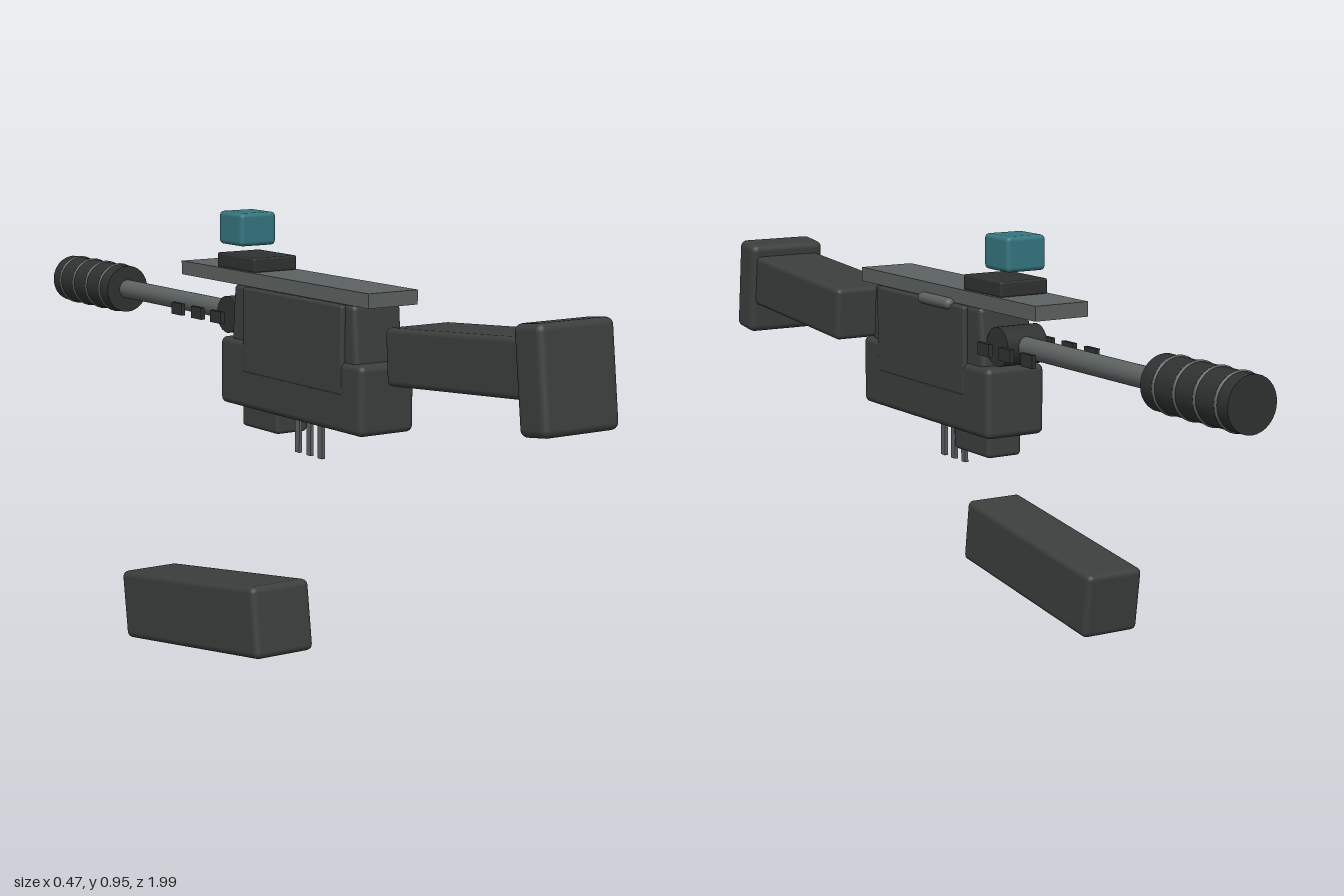
import * as THREE from 'three';
import { RoundedBoxGeometry } from 'three/addons/geometries/RoundedBoxGeometry.js';

const mat = (color) => new THREE.MeshStandardMaterial({ color });
const X = 0.137; // centre line of the main body
const AXIS_Y = 0.712; // barrel height

export function createModel() {
  const group = new THREE.Group();
  const dark = mat(0x3a3f3d), black = mat(0x2e3231), steel = mat(0x5c6261), teal = mat(0x35757f);

  function add(name, geometry, material, x, y, z, tilt = 0) {
    const mesh = new THREE.Mesh(geometry, material);
    mesh.name = name;
    mesh.position.set(x, y, z);
    mesh.rotation.x = tilt;
    group.add(mesh);
    return mesh;
  }
  const rounded = (w, h, d, r) => new RoundedBoxGeometry(w, h, d, 3, r);
  const rod = (r, length) => new THREE.CylinderGeometry(r, r, length, 32).rotateX(Math.PI / 2);

  // Stock with its butt plate, both leaning slightly
  add('stock', rounded(0.172, 0.123, 0.46, 0.012), dark, X, 0.717, 0.70, -0.075);
  add('buttPlate', rounded(0.195, 0.222, 0.083, 0.016), dark, X, 0.715, 0.942, -0.12);

  // Detached magazine
  add('magazine', rounded(0.148, 0.153, 0.54, 0.014), dark, -0.161, 0.116, 0.142, -0.14);

  // Receiver: lower body, tapered upper body and side panel
  add('lowerReceiver', rounded(0.146, 0.155, 0.551, 0.014), dark, X, 0.587, 0.094);
  const upper = rounded(0.128, 0.15, 0.49, 0.012);
  const p = upper.attributes.position;
  for (let i = 0; i < p.count; i++) p.setZ(i, p.getZ(i) * (1 - 0.35 * (p.getY(i) + 0.075)));
  upper.computeVertexNormals();
  add('upperReceiver', upper, dark, X, 0.716, 0.096);
  add('sidePanel', rounded(0.149, 0.196, 0.385, 0.006), dark, X, 0.69, 0.107);

  // Top rail, sight base and floating sight block
  add('rail', new THREE.BoxGeometry(0.131, 0.032, 0.743), steel, X, 0.806, 0.013);
  add('sightBase', rounded(0.118, 0.034, 0.155, 0.005), black, X, 0.838, -0.137);
  add('sight', rounded(0.097, 0.076, 0.097, 0.01), teal, X, 0.912, -0.176);

  // Barrel with pivot, muzzle and bands
  add('barrel', rod(0.023, 0.58), steel, X, AXIS_Y, -0.46);
  const pivot = new THREE.CylinderGeometry(0.043, 0.043, 0.1, 24).rotateZ(Math.PI / 2);
  add('barrelPivot', pivot, black, X, AXIS_Y, -0.185);
  add('muzzle', rod(0.058, 0.278), black, X, AXIS_Y, -0.861);
  for (const z of [-0.765, -0.832, -0.897, -0.963]) {
    add('muzzleBand', new THREE.TorusGeometry(0.056, 0.005, 8, 32), steel, X, AXIS_Y, z);
  }

  // Small vent plates on both sides
  for (const side of [-1, 1]) {
    for (const z of [-0.183, -0.267, -0.353]) {
      add('ventPlate', new THREE.BoxGeometry(0.01, 0.028, 0.045), black, X + side * 0.079, 0.709, z);
    }
  }

  // Bolt handle on the left side
  const bolt = new THREE.CapsuleGeometry(0.013, 0.108, 6, 16).rotateX(Math.PI / 2);
  add('boltHandle', bolt, steel, 0.209, 0.787, 0.034);

  // Trigger blades and lower block
  for (const z of [0.035, 0.08, 0.124]) {
    add('triggerBlade', new THREE.BoxGeometry(0.008, 0.1, 0.017), steel, X, 0.467, z);
  }
  add('lowerBlock', rounded(0.086, 0.065, 0.145, 0.009), dark, X, 0.49, -0.062);

  return group;
}
